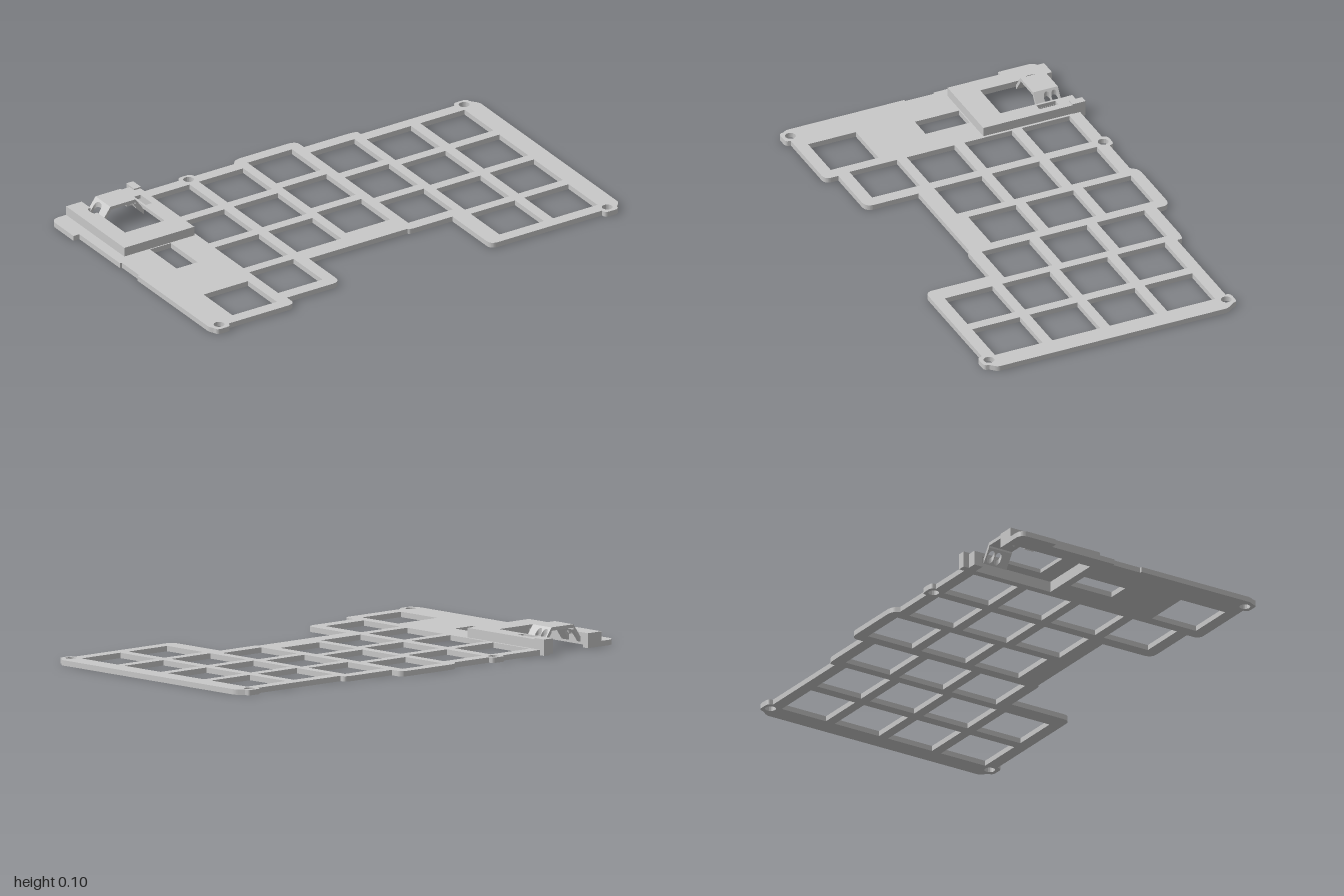
import * as THREE from 'three';

const grey = new THREE.MeshStandardMaterial({ color: 0xc8c8c8 });
grey.name = 'grey plastic';

// Closed outline from [x, z, cornerRadius] points, drawn with z flipped so it lies flat later
function outline(points, Type = THREE.Shape) {
  const path = new Type();
  const n = points.length;
  points.forEach(([x, z, r = 0], i) => {
    const p = new THREE.Vector2(x, -z);
    const toward = (q) => {
      const d = new THREE.Vector2(q[0], -q[1]).sub(p);
      return p.clone().add(d.setLength(Math.min(r, d.length() / 2)));
    };
    const a = toward(points[(i + n - 1) % n]);
    const b = toward(points[(i + 1) % n]);
    if (i === 0) path.moveTo(a.x, a.y);
    else path.lineTo(a.x, a.y);
    if (r) path.quadraticCurveTo(p.x, p.y, b.x, b.y);
  });
  path.closePath();
  return path;
}

// Openings run the opposite way round to the outlines, so their walls face inward
const rectHole = (x0, x1, z0, z1) =>
  outline([[x0, z0], [x0, z1], [x1, z1], [x1, z0]], THREE.Path);

const roundHole = (x, z, r) => new THREE.Path().absarc(x, -z, r, 0, Math.PI * 2, false);

// Rounded screw lug standing out of an edge; dir is the direction of travel along x
const lug = (x, edge, tip, dir) => [
  [x - dir * 0.036, edge], [x - dir * 0.03, tip, 0.02],
  [x + dir * 0.03, tip, 0.02], [x + dir * 0.036, edge],
];

// Horizontal slab between two heights
function slab(name, shape, y0, y1) {
  const g = new THREE.ExtrudeGeometry(shape, { depth: y1 - y0, bevelEnabled: false, curveSegments: 10 });
  g.rotateX(-Math.PI / 2);
  g.translate(0, y0, 0);
  const m = new THREE.Mesh(g, grey);
  m.name = name;
  return m;
}

// Slab sheared into a slope that falls away from the middle of the bridge
function slopedLeg(name, shape) {
  const leg = slab(name, shape, 0.074, 0.096);
  const pos = leg.geometry.attributes.position;
  for (let i = 0; i < pos.count; i++) {
    const run = Math.abs(pos.getX(i) + 0.755) - 0.06;
    pos.setY(i, pos.getY(i) - 1.4 * run);
  }
  leg.geometry.computeVertexNormals();
  return leg;
}

export function createModel() {
  const model = new THREE.Group();
  model.name = 'keyboardPlate';
  const T = 0.022;

  // Stepped plate with screw lugs, open at the back left for the controller
  const plate = outline([
    [-1, -0.57, 0.04], [-0.85, -0.57], [-0.85, -0.54], [-0.9, -0.54], [-0.9, -0.17],
    [-0.61, -0.17], [-0.61, -0.53], [-0.66, -0.53], [-0.66, -0.57],
    ...lug(-0.345, -0.57, -0.592, 1),
    [-0.12, -0.57], [-0.095, -0.6, 0.03], [0.197, -0.6, 0.045], [0.197, -0.54],
    [0.45, -0.54, 0.045], [0.45, -0.51],
    ...lug(0.938, -0.51, -0.531, 1), [1, -0.475, 0.015],
    [1, 0.55, 0.015], ...lug(0.938, 0.575, 0.597, -1),
    [0.37, 0.575, 0.035], [0.37, 0.29], [0.17, 0.29, 0.02], [0.16, 0.28],
    [-0.312, 0.28], [-0.312, 0.515, 0.04], [-0.57, 0.515], [-0.57, 0.575, 0.035],
    ...lug(-0.925, 0.575, 0.597, -1),
    [-0.972, 0.555, 0.01], [-0.972, 0.03], [-0.963, 0.03], [-0.963, -0.1], [-0.972, -0.1],
    [-0.972, -0.4], [-1, -0.4],
  ]);

  // Key openings: column left edge, first row edge, number of keys
  const key = 0.213, pitch = 0.256;
  const columns = [
    [-0.578, -0.519, 4], [-0.321, -0.519, 3], [-0.067, -0.55, 3],
    [0.192, -0.487, 3], [0.445, -0.458, 4], [0.702, -0.458, 4], [-0.837, 0.31, 1],
  ];
  for (const [x, z, count] of columns) {
    for (let i = 0; i < count; i++) {
      const z0 = z + i * pitch;
      plate.holes.push(rectHole(x, x + key, z0, z0 + key));
    }
  }
  // Small slot
  plate.holes.push(rectHole(-0.805, -0.705, -0.135, 0.062));

  // Screw holes
  for (const [x, z] of [[-0.925, 0.56], [0.938, 0.56], [0.938, -0.497], [-0.345, -0.558]]) {
    plate.holes.push(roundHole(x, z, 0.022));
  }
  model.add(slab('plate', plate, 0, T));

  // Controller housing: side walls and a notched roof
  const walls = outline([
    [-0.925, -0.57], [-0.85, -0.57], [-0.85, -0.54], [-0.9, -0.54], [-0.9, -0.17],
    [-0.61, -0.17], [-0.61, -0.53], [-0.66, -0.53], [-0.66, -0.57],
    [-0.589, -0.57], [-0.589, -0.14], [-0.925, -0.14],
  ]);
  model.add(slab('housingWalls', walls, T, 0.045));

  const roof = outline([
    [-0.925, -0.57], [-0.85, -0.57], [-0.85, -0.504], [-0.869, -0.504, 0.02], [-0.869, -0.456, 0.02],
    [-0.85, -0.456], [-0.85, -0.25], [-0.66, -0.25], [-0.66, -0.57],
    [-0.589, -0.57], [-0.589, -0.14], [-0.925, -0.14],
  ]);
  roof.holes.push(rectHole(-0.65, -0.62, -0.49, -0.405));
  model.add(slab('housingRoof', roof, 0.045, 0.061));

  // Raised post at the back corner
  const post = outline([[-0.62, -0.595], [-0.587, -0.595], [-0.587, -0.537], [-0.62, -0.537]]);
  model.add(slab('cornerPost', post, 0, 0.067));

  // Bridge over the connector opening: flat deck and two pierced sloping legs
  const bridge = new THREE.Group();
  bridge.name = 'connectorBridge';
  const zBack = -0.522, zFront = -0.412;
  bridge.add(slab('bridgeDeck',
    outline([[-0.815, zBack], [-0.695, zBack], [-0.695, zFront], [-0.815, zFront]]), 0.082, 0.096));

  bridge.add(slopedLeg('bridgeLeftLeg', outline([
    [-0.853, zBack], [-0.815, zBack], [-0.815, zFront], [-0.853, zFront],
    [-0.853, -0.456], [-0.821, -0.456, 0.024], [-0.821, -0.504, 0.024], [-0.853, -0.504],
  ])));

  const rightLeg = outline([[-0.695, zBack], [-0.655, zBack], [-0.655, zFront], [-0.695, zFront]]);
  for (const z of [-0.5, -0.467]) rightLeg.holes.push(roundHole(-0.674, z, 0.0155));
  bridge.add(slopedLeg('bridgeRightLeg', rightLeg));
  model.add(bridge);

  return model;
}
